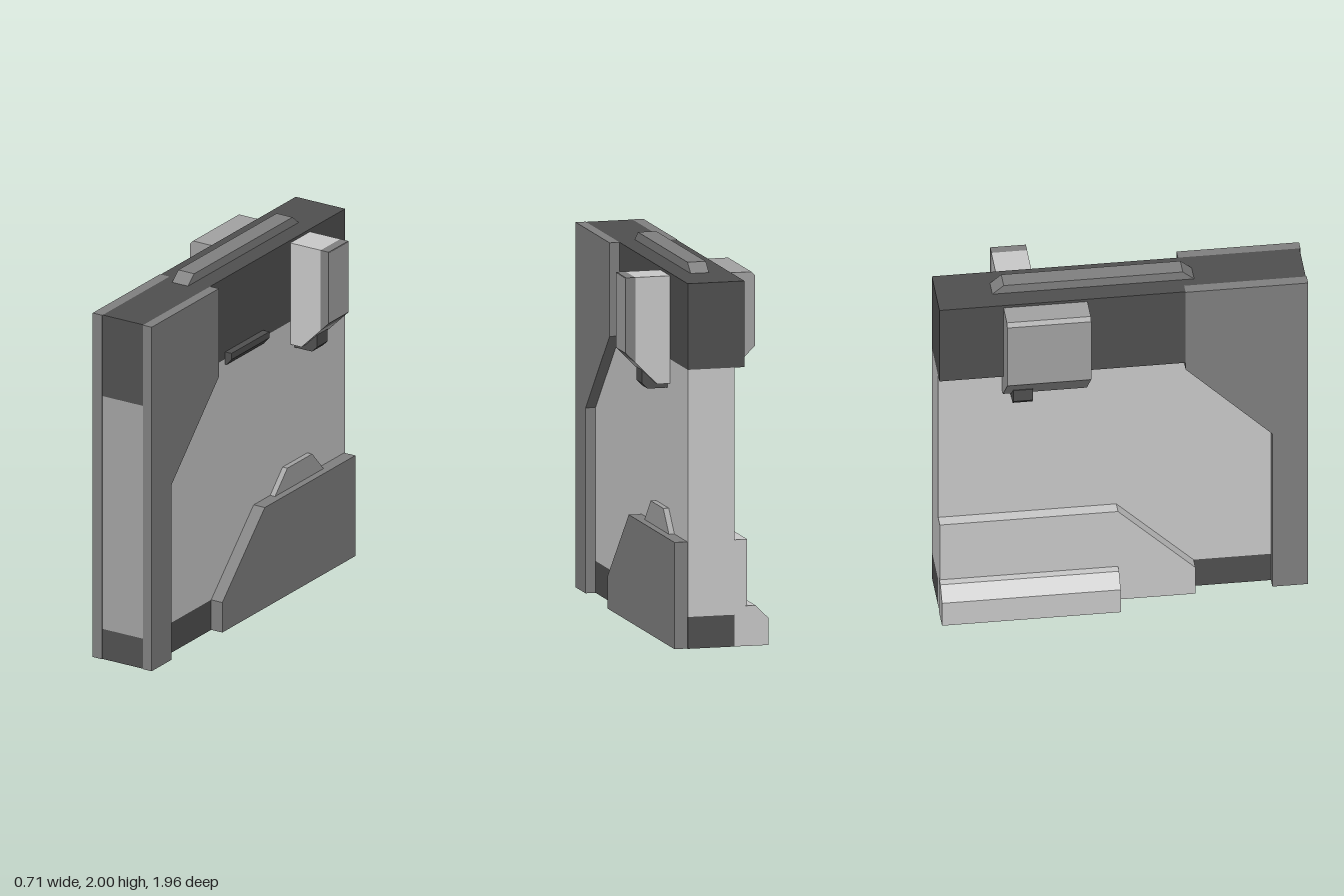
import * as THREE from 'three';

const mat = (name, color) => {
  const m = new THREE.MeshStandardMaterial({ color });
  m.name = name;
  return m;
};

export function createModel() {
  const dark = mat('darkGrey', 0x505050);
  const mid = mat('midGrey', 0x808080);
  const soft = mat('softGrey', 0xa3a3a3);
  const light = mat('lightGrey', 0xc9c9c9);
  const model = new THREE.Group();
  model.name = 'panelTower';

  const add = (name, geometry, material) => {
    const mesh = new THREE.Mesh(geometry, material);
    mesh.name = name;
    model.add(mesh);
    return mesh;
  };
  const box = (name, material, [x0, x1], [y0, y1], [z0, z1]) => {
    const g = new THREE.BoxGeometry(x1 - x0, y1 - y0, z1 - z0);
    g.translate((x0 + x1) / 2, (y0 + y1) / 2, (z0 + z1) / 2);
    return add(name, g, material);
  };
  const extrude = (points, depth) => new THREE.ExtrudeGeometry(
    new THREE.Shape(points.map(([a, b]) => new THREE.Vector2(a, b))),
    { depth, bevelEnabled: false });
  // side profile of [z, y] points, running from x0 to x1
  const sidePlate = (name, material, points, x0, x1) =>
    add(name, extrude(points, x1 - x0).rotateY(-Math.PI / 2).translate(x1, 0, 0), material);
  // front profile of [x, y] points, running from z0 to z1
  const frontProfile = (name, material, points, z0, z1) =>
    add(name, extrude(points, z1 - z0).translate(0, 0, z0), material);

  // Core slab: dark foot, light wall with a softer front strip, dark head
  const cx = [-0.145, 0.11], cz = [-0.975, 0.975];
  box('foot', dark, cx, [0, 0.17], cz);
  box('wall', [light, light, light, light, soft, light], cx, [0.17, 1.49], cz);
  box('head', dark, cx, [1.49, 1.95], cz);
  box('headRightSlab', dark, [-0.2, -0.145], [1.49, 1.95], [-0.975, 0.33]);

  // Front frame plates on both sides
  const frame = [[0.98, 0], [0.98, 1.95], [0.33, 1.95], [0.33, 1.45], [0.79, 0.99], [0.79, 0]];
  sidePlate('leftFramePlate', mid, frame, 0.11, 0.165);
  sidePlate('rightFramePlate', mid, frame, -0.205, -0.145);

  // Lower side plates
  sidePlate('leftLowerPlate', mid,
    [[0.32, 0], [0.32, 0.17], [-0.09, 0.57], [-0.965, 0.57], [-0.965, 0]], 0.11, 0.18);
  sidePlate('rightLowerPlate', light,
    [[0.38, 0], [0.38, 0.17], [-0.03, 0.57], [-0.975, 0.57], [-0.975, 0]], -0.215, -0.145);
  sidePlate('leftPlateTab', soft,
    [[-0.25, 0.57], [-0.37, 0.69], [-0.61, 0.69], [-0.72, 0.57]], 0.11, 0.14);
  frontProfile('rightStep', light,
    [[-0.2, 0], [-0.2, 0.215], [-0.26, 0.215], [-0.33, 0.145], [-0.33, 0]], -0.978, -0.03);

  // Top rail with sloped ends
  sidePlate('topRail', mid, [[0.39, 1.95], [0.33, 2], [-0.62, 2], [-0.68, 1.95]], -0.09, 0.01);

  // Narrow handle under the head
  frontProfile('leftHandle', dark,
    [[0.11, 1.46], [0.12, 1.46], [0.15, 1.495], [0.15, 1.53], [0.11, 1.53]], -0.18, 0.185);

  // Left pod with outer cap
  frontProfile('leftPod', light,
    [[0.11, 1.36], [0.18, 1.36], [0.3, 1.48], [0.3, 1.935], [0.11, 1.935]], -0.635, -0.445);
  frontProfile('leftPodCap', mid,
    [[0.3, 1.48], [0.35, 1.53], [0.35, 1.935], [0.3, 1.935]], -0.635, -0.445);
  box('leftPodFace', soft, [0.35, 0.352], [1.535, 1.932], [-0.633, -0.447]);

  // Right pod
  frontProfile('rightPod', soft,
    [[-0.145, 1.36], [-0.145, 1.935], [-0.335, 1.935], [-0.355, 1.915], [-0.355, 1.54], [-0.175, 1.36]],
    -0.635, -0.19);

  // Hooks below the pods
  for (const s of [1, -1]) {
    const x0 = s > 0 ? 0.11 : 0.145;
    frontProfile(s > 0 ? 'leftHook' : 'rightHook', dark,
      [[x0, 1.33], [0.22, 1.33], [0.25, 1.36], [0.25, 1.43], [x0, 1.43]].map(([x, y]) => [s * x, y]),
      -0.59, -0.485);
  }
  return model;
}
